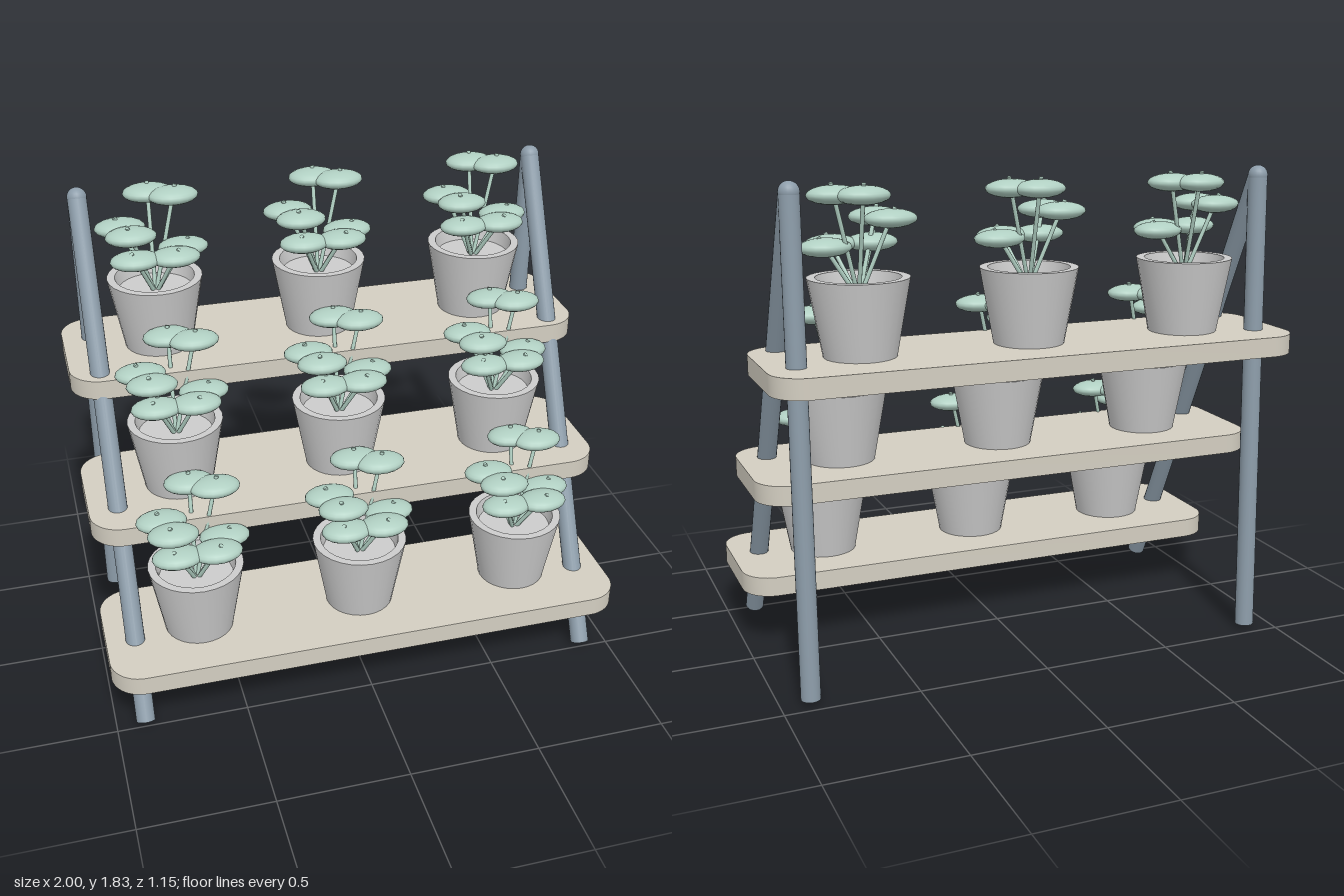
import * as THREE from 'three';
import { toCreasedNormals } from 'three/addons/utils/BufferGeometryUtils.js';

const wood = new THREE.MeshStandardMaterial({ color: 0xd3cec1 });
const metal = new THREE.MeshStandardMaterial({ color: 0x8d9daa });
const clay = new THREE.MeshStandardMaterial({ color: 0xcccccc });
const green = new THREE.MeshStandardMaterial({ color: 0xb0cfc2 });

function addMesh(parent, name, geometry, material) {
  const mesh = new THREE.Mesh(geometry, material);
  mesh.name = name;
  parent.add(mesh);
  return mesh;
}

// Cylinder running between two points
function rod(parent, name, from, to, radius, sides, material) {
  const dir = to.clone().sub(from);
  const mesh = addMesh(parent, name, new THREE.CylinderGeometry(radius, radius, dir.length(), sides), material);
  mesh.position.copy(from).add(to).multiplyScalar(0.5);
  mesh.quaternion.setFromUnitVectors(new THREE.Vector3(0, 1, 0), dir.normalize());
  return mesh;
}

// Board with rounded corners, lying flat with its underside at y = 0
function shelfGeometry(width, depth, thickness, r) {
  const w = width / 2, d = depth / 2;
  const s = new THREE.Shape();
  s.absarc(w - r, d - r, r, 0, Math.PI / 2);
  s.absarc(-w + r, d - r, r, Math.PI / 2, Math.PI);
  s.absarc(-w + r, -d + r, r, Math.PI, Math.PI * 1.5);
  s.absarc(w - r, -d + r, r, Math.PI * 1.5, Math.PI * 2);
  s.closePath();
  const g = new THREE.ExtrudeGeometry(s, { depth: thickness, bevelEnabled: false, curveSegments: 8 });
  return toCreasedNormals(g.rotateX(-Math.PI / 2), 0.6);
}

// Tapered hollow pot, closed by a recessed bed of soil
const potProfile = [[0, 0], [0.13, 0], [0.18, 0.277], [0.15, 0.277], [0.14, 0.225], [0, 0.225]];
const potGeometry = toCreasedNormals(
  new THREE.LatheGeometry(potProfile.map(([x, y]) => new THREE.Vector2(x, y)), 28), 0.6);

const leafGeometry = new THREE.SphereGeometry(1, 18, 12).scale(0.095, 0.033, 0.068);

// Angle, reach and tier height of each leaf
const GOLDEN = 2.4;
const leaves = [];
for (let i = 0; i < 6; i++) leaves.push([i * GOLDEN, 0.115, 0.383 + (i % 3) * 0.091]);
leaves.push([2.27, 0.118, 0.383]);

function pottedPlant() {
  const plant = new THREE.Group();
  plant.name = 'pottedPlant';
  addMesh(plant, 'pot', potGeometry, clay);
  for (const [angle, reach, height] of leaves) {
    const base = new THREE.Vector3(0, 0.2, 0);
    const centre = new THREE.Vector3(Math.cos(angle) * reach, height, Math.sin(angle) * reach);
    // The stem pokes slightly through the leaf
    const tip = centre.clone().add(centre.clone().sub(base).normalize().multiplyScalar(0.042));
    rod(plant, 'stem', base, tip, 0.008, 8, green);
    addMesh(plant, 'leaf', leafGeometry, green).position.copy(centre);
  }
  return plant;
}

export function createModel() {
  const model = new THREE.Group();
  model.name = 'plantStand';

  // Three stepped shelves, each with three plants
  const boardGeometry = shelfGeometry(2, 0.545, 0.074, 0.12);
  for (let level = 0; level < 3; level++) {
    const y = 0.229 + level * 0.455;
    const z = 0.304 - level * 0.304;
    addMesh(model, 'shelf', boardGeometry, wood).position.set(0, y, z);
    for (const x of [-0.637, 0, 0.637]) {
      const plant = pottedPlant();
      plant.position.set(x, y + 0.074, z);
      model.add(plant);
    }
  }

  // A-frame at each end: sloping front leg, near-vertical back leg, rounded peak
  const r = 0.036;
  for (const side of [-1, 1]) {
    const x = side * 0.89;
    const peak = new THREE.Vector3(x, 1.795, -0.39);
    rod(model, 'frontLeg', new THREE.Vector3(x, 0.02, 0.484), peak, r, 20, metal);
    rod(model, 'backLeg', new THREE.Vector3(x, 0.02, -0.44), peak, r, 20, metal);
    addMesh(model, 'legPeak', new THREE.SphereGeometry(r + 0.001, 20, 14), metal).position.copy(peak);
  }
  return model;
}
